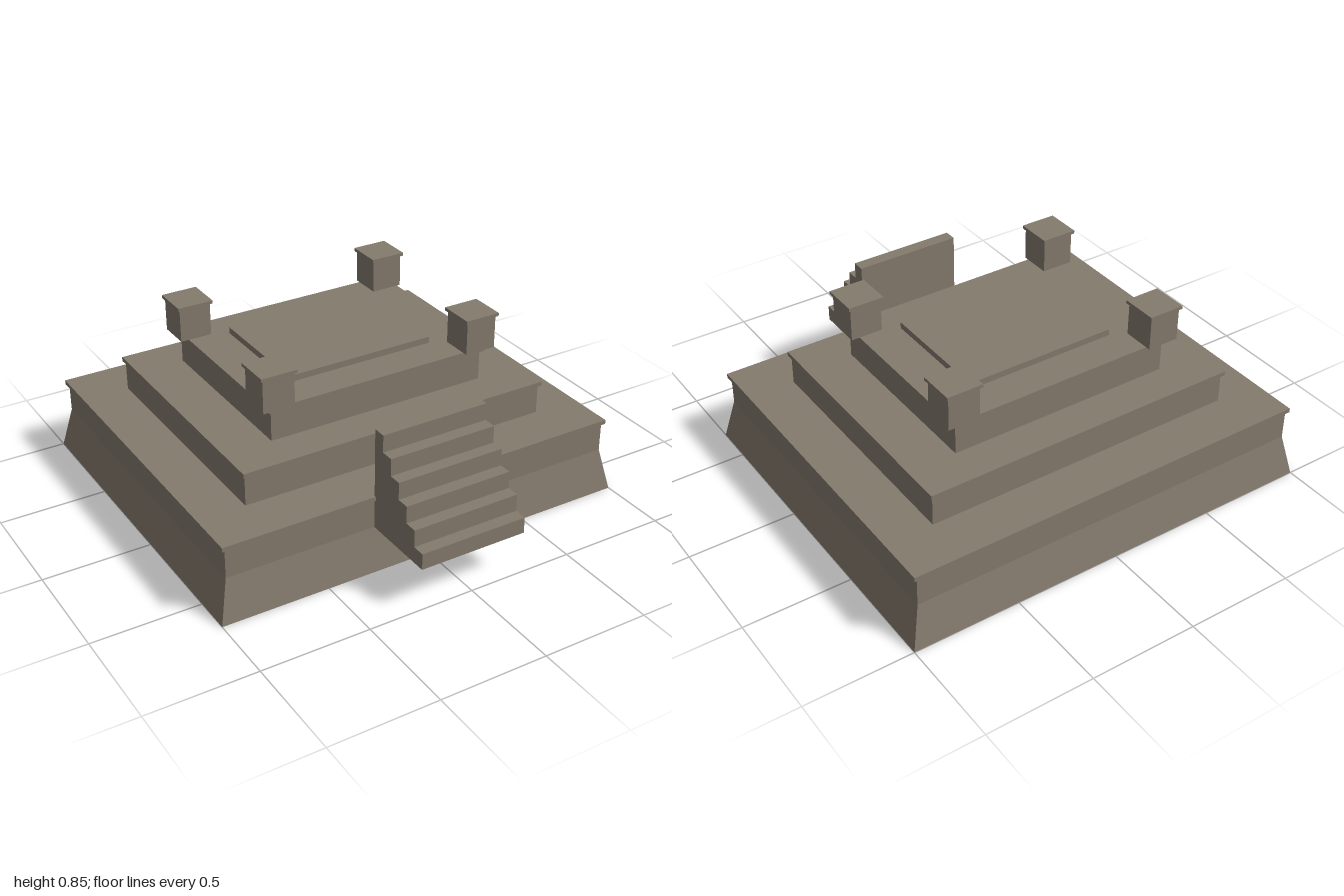
import * as THREE from 'three';

const CENTER_Z = -0.16;

export function createModel() {
  const model = new THREE.Group();
  model.name = 'steppedPlatform';
  const stone = new THREE.MeshStandardMaterial({ color: 0x857b6e });
  stone.name = 'stone';
  const openStone = new THREE.MeshStandardMaterial({ color: 0x857b6e, side: THREE.DoubleSide, flatShading: true });
  openStone.name = 'stone open faces';

  // Box given by half sizes, bottom and top heights, and centre
  function block(name, hx, hz, y0, y1, parent, x = 0, z = 0) {
    const mesh = new THREE.Mesh(new THREE.BoxGeometry(hx * 2, y1 - y0, hz * 2), stone);
    mesh.position.set(x, (y0 + y1) / 2, z);
    mesh.name = name;
    parent.add(mesh);
  }

  const terraces = new THREE.Group();
  terraces.name = 'terraces';
  terraces.position.z = CENTER_Z;
  model.add(terraces);

  // Flared open skirt under the lowest terrace
  const skirtGeo = new THREE.BoxGeometry(2, 0.2, 1.68);
  const p = skirtGeo.attributes.position;
  for (let i = 0; i < p.count; i++) {
    if (p.getY(i) > 0) p.setXYZ(i, Math.sign(p.getX(i)) * 0.955, p.getY(i), Math.sign(p.getZ(i)) * 0.8);
  }
  // keep only the four sloping sides
  const index = Array.from(skirtGeo.index.array);
  skirtGeo.setIndex([...index.slice(0, 12), ...index.slice(24)]);
  skirtGeo.clearGroups();
  skirtGeo.computeVertexNormals();
  const skirt = new THREE.Mesh(skirtGeo, openStone);
  skirt.name = 'baseSkirt';
  skirt.position.y = 0.1;
  terraces.add(skirt);

  // Three terraces, each with an overhanging slab
  const tiers = [
    ['lower', 0.955, 0.8, 0.2, 0.335, 0.97, 0.81, 0.355],
    ['middle', 0.747, 0.587, 0.355, 0.495, 0.758, 0.6, 0.515],
    ['upper', 0.532, 0.425, 0.515, 0.655, 0.547, 0.438, 0.675],
  ];
  for (const [name, hx, hz, y0, y1, cx, cz, y2] of tiers) {
    block(name + 'Terrace', hx, hz, y0, y1, terraces);
    block(name + 'TerraceSlab', cx, cz, y1, y2, terraces);
  }
  block('topPlinth', 0.36, 0.275, 0.675, 0.705, terraces);

  // Corner posts with caps
  for (const sx of [-1, 1]) {
    for (const sz of [-1, 1]) {
      const post = new THREE.Group();
      post.name = 'cornerPost';
      post.position.set(sx * 0.51, 0, sz * 0.385);
      block('postShaft', 0.075, 0.075, 0.675, 0.83, post);
      block('postCap', 0.085, 0.085, 0.83, 0.845, post);
      terraces.add(post);
    }
  }

  // Front staircase: stepped side profile (z, y) extruded across x
  const profile = new THREE.Shape();
  profile.moveTo(0.64, 0.2);
  profile.lineTo(1, 0.2);
  for (let i = 0; i < 6; i++) {
    const y = 0.275 + i * 0.08;
    profile.lineTo(1 - i * 0.06, y);
    profile.lineTo(1 - (i + 1) * 0.06, y);
  }
  profile.closePath();
  const stairGeo = new THREE.ExtrudeGeometry(profile, { depth: 0.51, bevelEnabled: false });
  stairGeo.rotateY(-Math.PI / 2);
  stairGeo.translate(0.255, 0, 0);
  const stairs = new THREE.Mesh(stairGeo, stone);
  stairs.name = 'frontStairs';
  model.add(stairs);

  return model;
}
